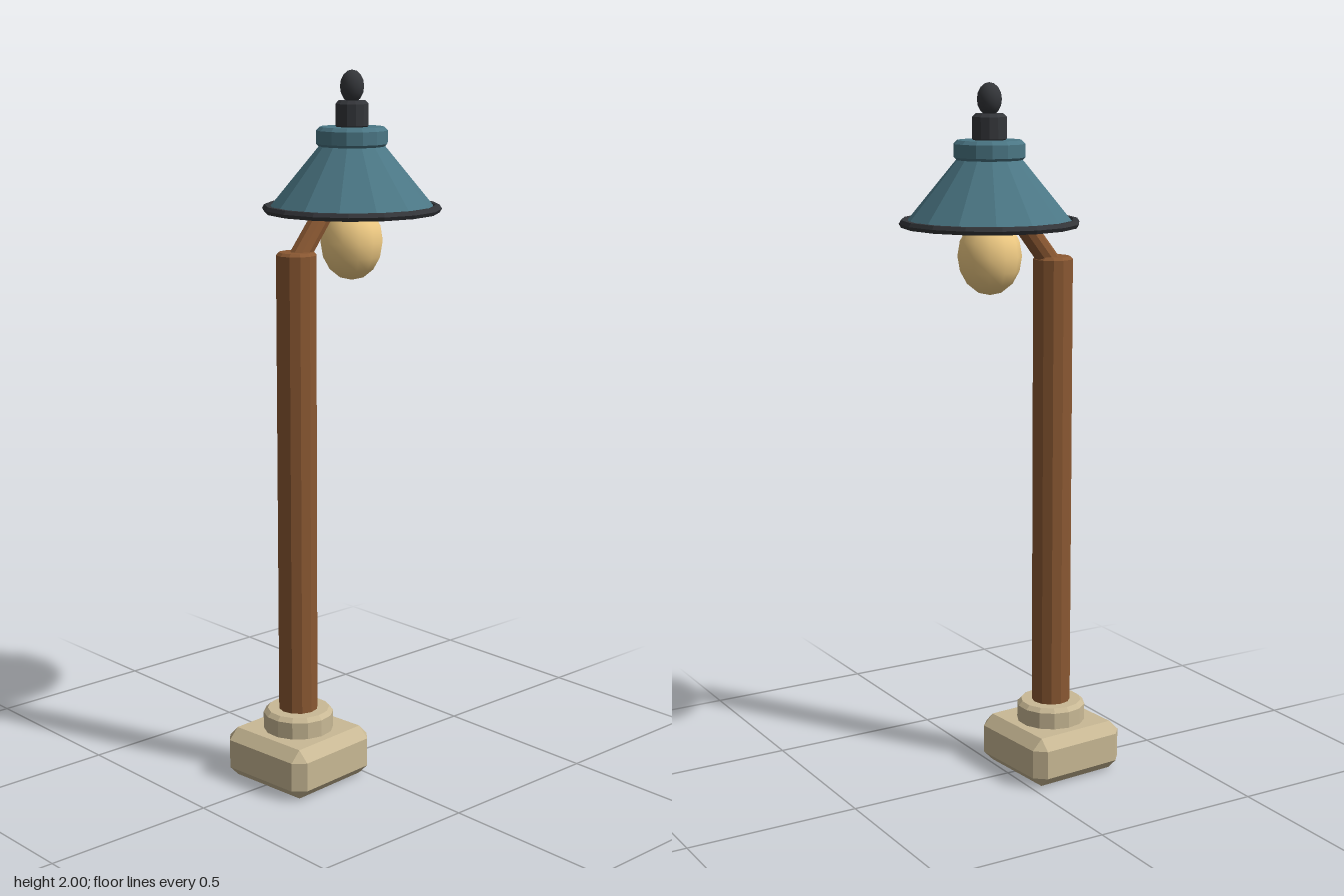
import * as THREE from 'three';
import { ConvexGeometry } from 'three/addons/geometries/ConvexGeometry.js';

const POST_X = -0.148;
const LAMP_X = 0.058;

const paint = (color, flatShading = true) =>
  new THREE.MeshStandardMaterial({ color, flatShading });

const stone = paint(0xc9b995);
const wood = paint(0x8a5832);
const teal = paint(0x4b7785);
const iron = paint(0x34363a);
const ironSmooth = paint(0x34363a, false);
const glow = paint(0xf2cd85, false);

// Closed solid of revolution from [radius, y] pairs, bottom to top
function turned(profile, sides) {
  return new THREE.LatheGeometry(profile.map(([r, y]) => new THREE.Vector2(r, y)), sides);
}

// Cylinder with bevelled top and bottom edges
function bevelledDrum(r, y0, y1, bevel, sides) {
  return turned([
    [0, y0], [r - bevel, y0], [r, y0 + bevel],
    [r, y1 - bevel], [r - bevel, y1], [0, y1],
  ], sides);
}

// Box with every edge chamfered: three inset corner points per corner
function chamferedBox(w, h, d, c) {
  const half = [w / 2, h / 2, d / 2];
  const points = [];
  for (const sx of [-1, 1]) for (const sy of [-1, 1]) for (const sz of [-1, 1]) {
    for (let axis = 0; axis < 3; axis++) {
      const p = half.map((v, i) => (i === axis ? v : v - c));
      points.push(new THREE.Vector3(sx * p[0], sy * p[1], sz * p[2]));
    }
  }
  return new ConvexGeometry(points);
}

export function createModel() {
  const model = new THREE.Group();
  model.name = 'lampPost';

  const add = (name, geometry, material, x, y = 0) => {
    const mesh = new THREE.Mesh(geometry, material);
    mesh.name = name;
    mesh.position.set(x, y, 0);
    model.add(mesh);
    return mesh;
  };

  // Stone foot, turned slightly off the axis, with a round collar
  const foot = add('footBlock', chamferedBox(0.31, 0.145, 0.31, 0.031), stone, POST_X, 0.0725);
  foot.rotation.y = 0.077;
  add('footCollar', bevelledDrum(0.1, 0.13, 0.205, 0.012, 14), stone, POST_X);

  // Wooden post and the slanted arm reaching into the shade
  add('post', bevelledDrum(0.056, 0.18, 1.518, 0.008, 12), wood, POST_X);
  const from = new THREE.Vector3(-0.165, 1.468, 0);
  const to = new THREE.Vector3(0.01, 1.69, 0);
  const along = to.clone().sub(from);
  const arm = add('arm', new THREE.CylinderGeometry(0.028, 0.03, along.length(), 10), wood, 0);
  arm.position.copy(from).add(to).multiplyScalar(0.5);
  arm.quaternion.setFromUnitVectors(new THREE.Vector3(0, 1, 0), along.normalize());

  // Conical shade, closed underneath, with its dark rim and cap
  add('shade', turned([[0, 1.617], [0.237, 1.617], [0.09, 1.795], [0, 1.795]], 14), teal, LAMP_X);
  const rim = add('shadeRim', new THREE.TorusGeometry(0.238, 0.012, 6, 16), iron, LAMP_X, 1.622);
  rim.rotation.x = Math.PI / 2;
  add('shadeCap', bevelledDrum(0.099, 1.79, 1.846, 0.01, 14), teal, LAMP_X);

  // Finial: drum and egg-shaped knob
  add('finialDrum', bevelledDrum(0.047, 1.84, 1.917, 0.009, 12), iron, LAMP_X);
  const knob = add('finialKnob', new THREE.SphereGeometry(0.034, 12, 8), ironSmooth, LAMP_X, 1.955);
  knob.scale.y = 0.045 / 0.034;

  // Egg-shaped bulb
  const bulb = add('bulb', new THREE.SphereGeometry(0.089, 12, 8), glow, LAMP_X, 1.53);
  bulb.scale.y = 0.108 / 0.089;

  return model;
}
